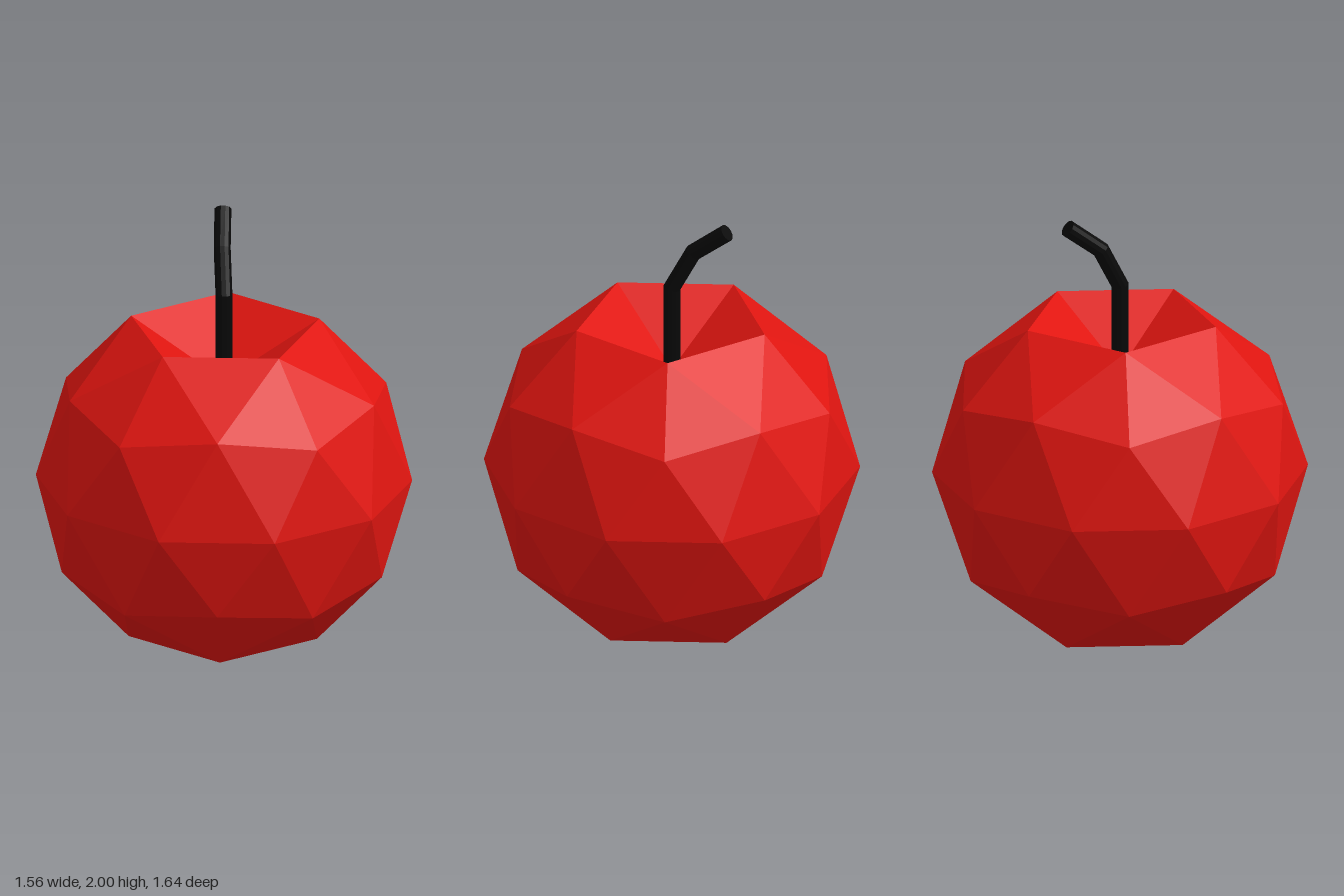
import * as THREE from 'three';

const RADIUS = 0.818;
const CENTRE_Y = 0.82;
const DENT_Y = 1.275;

// Faceted fruit: a subdivided icosahedron on its vertex, top vertex pushed in
function makeBody() {
  const geo = new THREE.IcosahedronGeometry(1, 1);
  geo.rotateZ(-Math.atan(2 / (1 + Math.sqrt(5))));
  geo.scale(RADIUS, RADIUS, RADIUS);
  geo.translate(0, CENTRE_Y, 0);
  const pos = geo.attributes.position;
  for (let i = 0; i < pos.count; i++) {
    if (pos.getY(i) > CENTRE_Y + RADIUS * 0.99) pos.setXYZ(i, 0, DENT_Y, 0);
  }
  geo.computeVertexNormals();
  const mat = new THREE.MeshStandardMaterial({ color: 0xe01510, flatShading: true });
  const mesh = new THREE.Mesh(geo, mat);
  mesh.name = 'fruitBody';
  return mesh;
}

// Stem: a cylinder whose rings follow a bent path
function makeStem() {
  const path = [
    [0, DENT_Y - 0.03, 0], [0, 1.67, 0], [0.018, 1.85, -0.093], [0.063, 1.971, -0.242],
  ].map((p) => new THREE.Vector3(...p));
  const last = path.length - 1;
  const up = new THREE.Vector3(0, 1, 0);
  const dir = (i) => path[i + 1].clone().sub(path[i]).normalize();
  // Each ring tilts to the average direction of the segments it joins
  const turns = path.map((_, i) => {
    const d = dir(Math.max(i - 1, 0)).add(dir(Math.min(i, last - 1))).normalize();
    return new THREE.Quaternion().setFromUnitVectors(up, d);
  });

  const geo = new THREE.CylinderGeometry(0.038, 0.038, last, 12, last);
  const pos = geo.attributes.position;
  const v = new THREE.Vector3();
  for (let i = 0; i < pos.count; i++) {
    v.fromBufferAttribute(pos, i);
    const ring = Math.round(v.y + last / 2);
    v.setY(0).applyQuaternion(turns[ring]).add(path[ring]);
    pos.setXYZ(i, v.x, v.y, v.z);
  }
  geo.computeVertexNormals();
  const mat = new THREE.MeshStandardMaterial({ color: 0x080808, flatShading: true });
  const mesh = new THREE.Mesh(geo, mat);
  mesh.name = 'stem';
  return mesh;
}

export function createModel() {
  const group = new THREE.Group();
  group.name = 'fruit';
  group.add(makeBody(), makeStem());
  return group;
}
